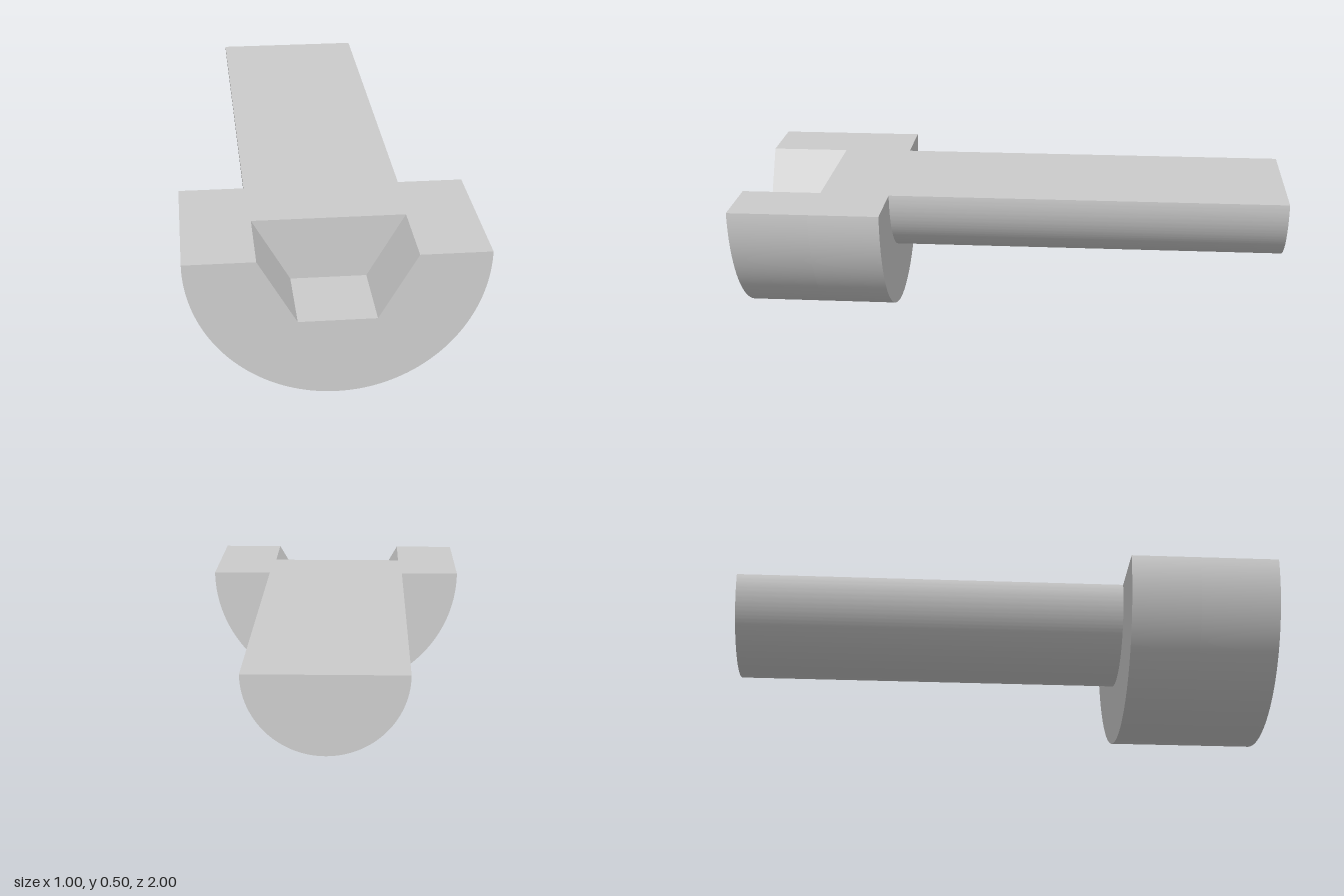
import * as THREE from 'three';
import { toCreasedNormals } from 'three/addons/utils/BufferGeometryUtils.js';

const TOP = 0.5; // height of the flat cut plane, which holds the bolt's axis
const material = new THREE.MeshStandardMaterial({ color: 0xcccccc });

// Lower half disc, optionally notched along its flat top, extruded from z0 to z1
function halfRod(name, radius, z0, z1, notch = []) {
  const shape = new THREE.Shape();
  shape.absarc(0, TOP, radius, Math.PI, Math.PI * 2, false);
  notch.forEach(([x, y]) => shape.lineTo(x, y));
  shape.closePath();
  const geometry = new THREE.ExtrudeGeometry(shape, {
    depth: z1 - z0, bevelEnabled: false, curveSegments: 64,
  });
  geometry.translate(0, 0, z0);
  const mesh = new THREE.Mesh(toCreasedNormals(geometry, 0.5), material);
  mesh.name = name;
  return mesh;
}

export function createModel() {
  const group = new THREE.Group();
  group.name = 'halvedSocketBolt';

  // Lower half of a hexagonal socket
  const hexRadius = 0.262;
  const socket = [0, 1, 2, 3].map((i) => {
    const a = -i * Math.PI / 3;
    return [hexRadius * Math.cos(a), TOP + hexRadius * Math.sin(a)];
  });

  group.add(
    halfRod('shaft', 0.273, -1, 0.455),
    halfRod('headBase', 0.5, 0.455, 0.71),
    halfRod('socketHead', 0.5, 0.71, 1, socket),
  );
  return group;
}
